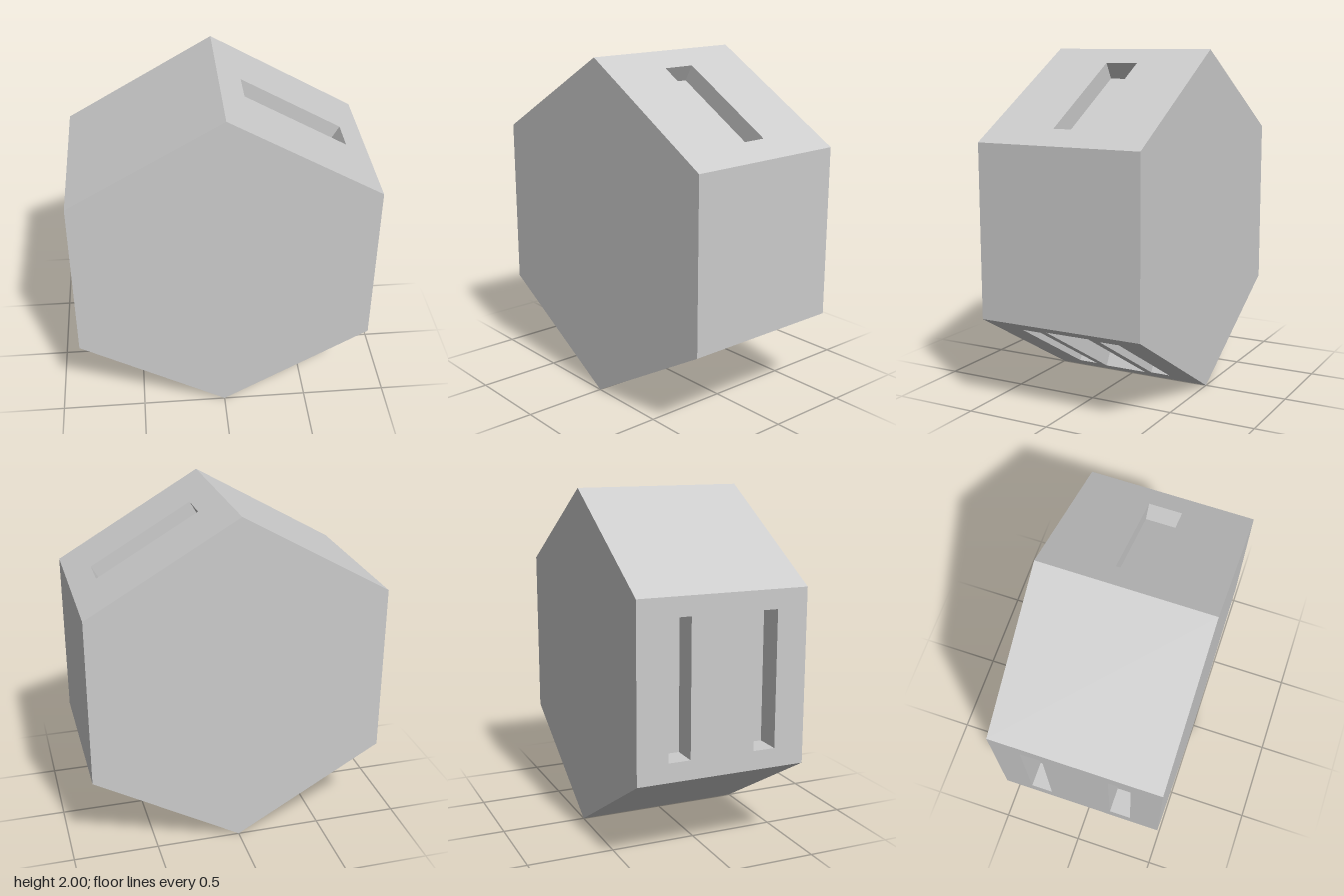
import * as THREE from 'three';

const APOTHEM = Math.sqrt(3) / 2; // hexagon of radius 1, so every side panel is 1 x 1
const HALF_DEPTH = 0.5;

// Side panels by the angle of their outward normal; slots are [centre, width, length, depth]
const PANELS = [
  { name: 'rightUprightPanel', angle: 0, slots: [] },
  { name: 'oneSlotPanel', angle: 60, slots: [[0, 0.2, 0.68, 0.107]] },
  { name: 'upperPlainPanel', angle: 120, slots: [] },
  { name: 'twoSlotPanel', angle: 180, slots: [-0.255, 0.255].map((c) => [c, 0.13, 0.78, 0.15]) },
  { name: 'lowerPlainPanel', angle: 240, slots: [] },
  {
    name: 'threeSlotPanel', angle: 300,
    slots: [[-0.25, 0.12, 0.73, 0.19], [0, 0.27, 0.79, 0.19], [0.25, 0.12, 0.73, 0.19]],
  },
];

function rectangle(PathType, cx, w, h) {
  return new PathType([
    new THREE.Vector2(cx - w / 2, -h / 2),
    new THREE.Vector2(cx + w / 2, -h / 2),
    new THREE.Vector2(cx + w / 2, h / 2),
    new THREE.Vector2(cx - w / 2, h / 2),
  ]);
}

// Box turned inside out, without its outer (+z) face
function pocketGeometry(cx, w, h, depth) {
  const box = new THREE.BoxGeometry(w, h, depth).translate(cx, 0, -depth / 2);
  const index = Array.from(box.index.array);
  index.splice(24, 6);
  box.setIndex(index.reverse());
  box.clearGroups();
  box.computeVertexNormals();
  return box;
}

export function createModel() {
  const model = new THREE.Group();
  model.name = 'slottedHexagonalBlock';
  const material = new THREE.MeshStandardMaterial({ color: 0xcccccc });
  const add = (parent, name, geometry) => {
    const mesh = new THREE.Mesh(geometry, material);
    mesh.name = name;
    parent.add(mesh);
    return mesh;
  };

  // Hexagonal ends
  const hexagon = new THREE.CircleGeometry(1, 6, Math.PI / 2);
  add(model, 'frontEnd', hexagon).position.set(0, 1, HALF_DEPTH);
  const back = add(model, 'backEnd', hexagon);
  back.position.set(0, 1, -HALF_DEPTH);
  back.rotation.y = Math.PI;

  // Side panels with their recessed slots
  for (const { name, angle, slots } of PANELS) {
    const a = THREE.MathUtils.degToRad(angle);
    const panel = new THREE.Group();
    panel.name = name;
    panel.rotation.set(0, Math.PI / 2, a, 'ZYX');
    panel.position.set(Math.cos(a) * APOTHEM, 1 + Math.sin(a) * APOTHEM, 0);

    const outline = rectangle(THREE.Shape, 0, 2 * HALF_DEPTH, 1);
    for (const [cx, w, h, depth] of slots) {
      outline.holes.push(rectangle(THREE.Path, cx, w, h));
      add(panel, 'slot', pocketGeometry(cx, w, h, depth));
    }
    add(panel, 'panelFace', new THREE.ShapeGeometry(outline));
    model.add(panel);
  }
  return model;
}
